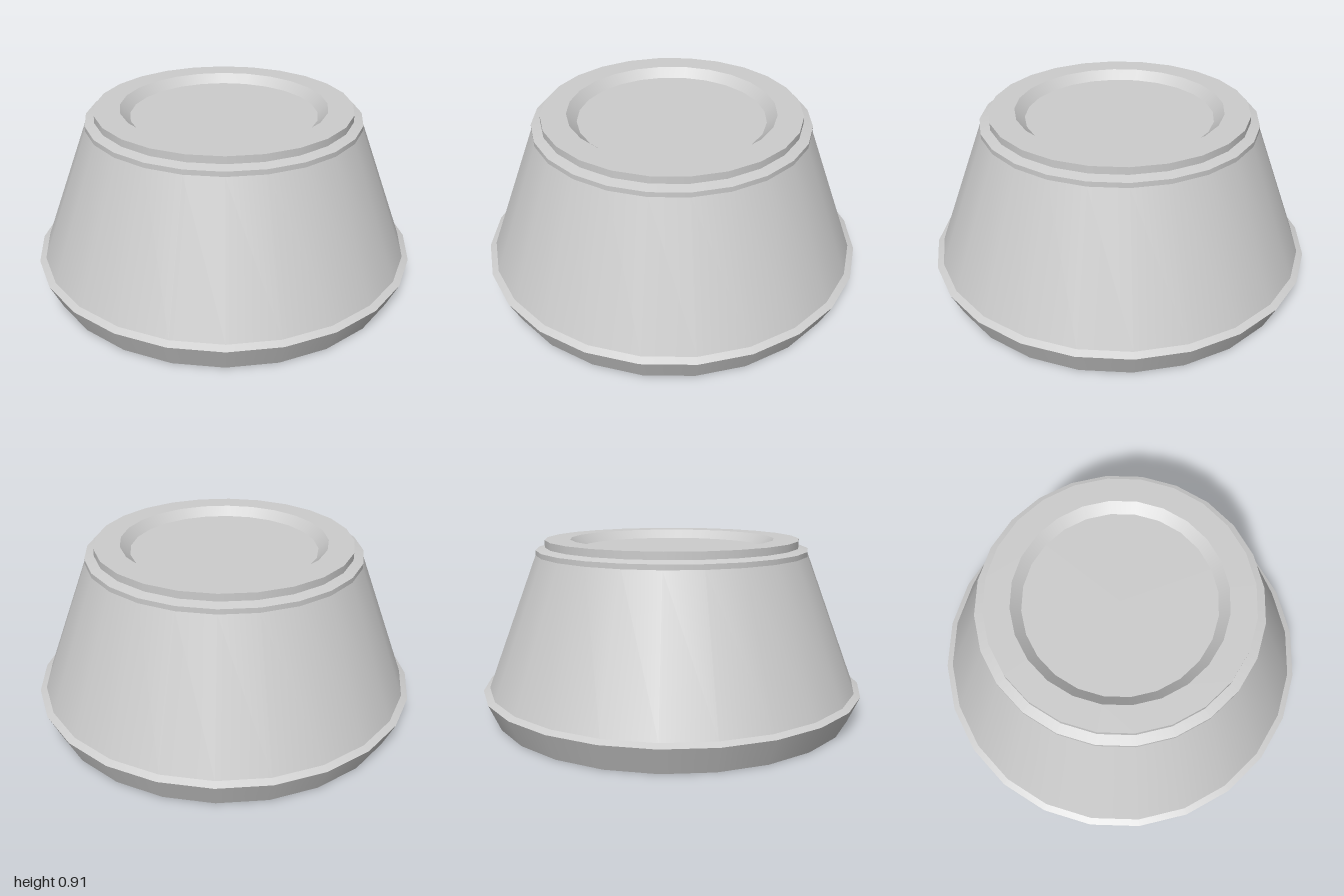
import * as THREE from 'three';

const SIDES = 24;

export function createModel() {
  const model = new THREE.Group();
  model.name = 'pedestal';
  const grey = new THREE.MeshStandardMaterial({ color: 0xcccccc });
  grey.name = 'plain grey';

  // One smooth band between two [radius, height] points; edges between bands stay sharp
  const band = (name, from, to) => {
    const points = [from, to].map(([r, y]) => new THREE.Vector2(r, y));
    const mesh = new THREE.Mesh(new THREE.LatheGeometry(points, SIDES), grey);
    mesh.name = name;
    model.add(mesh);
  };

  // Profile from the underside centre, round the outside, to the top centre
  const start = [0, 0.08];
  const profile = [
    ['undersideFloor', 0.785, 0.08],
    ['undersideRecessWall', 0.825, 0],
    ['footRing', 0.94, 0],
    ['flaredBase', 1, 0.135],
    ['baseLip', 0.967, 0.15],
    ['taperedBody', 0.708, 0.835],
    ['collar', 0.708, 0.86],
    ['collarStep', 0.66, 0.873],
    ['topRimWall', 0.66, 0.91],
    ['topRim', 0.53, 0.91],
    ['topRecessWall', 0.48, 0.865],
    ['topFloor', 0, 0.865],
  ];
  let previous = start;
  for (const [name, r, y] of profile) {
    band(name, previous, [r, y]);
    previous = [r, y];
  }
  return model;
}
